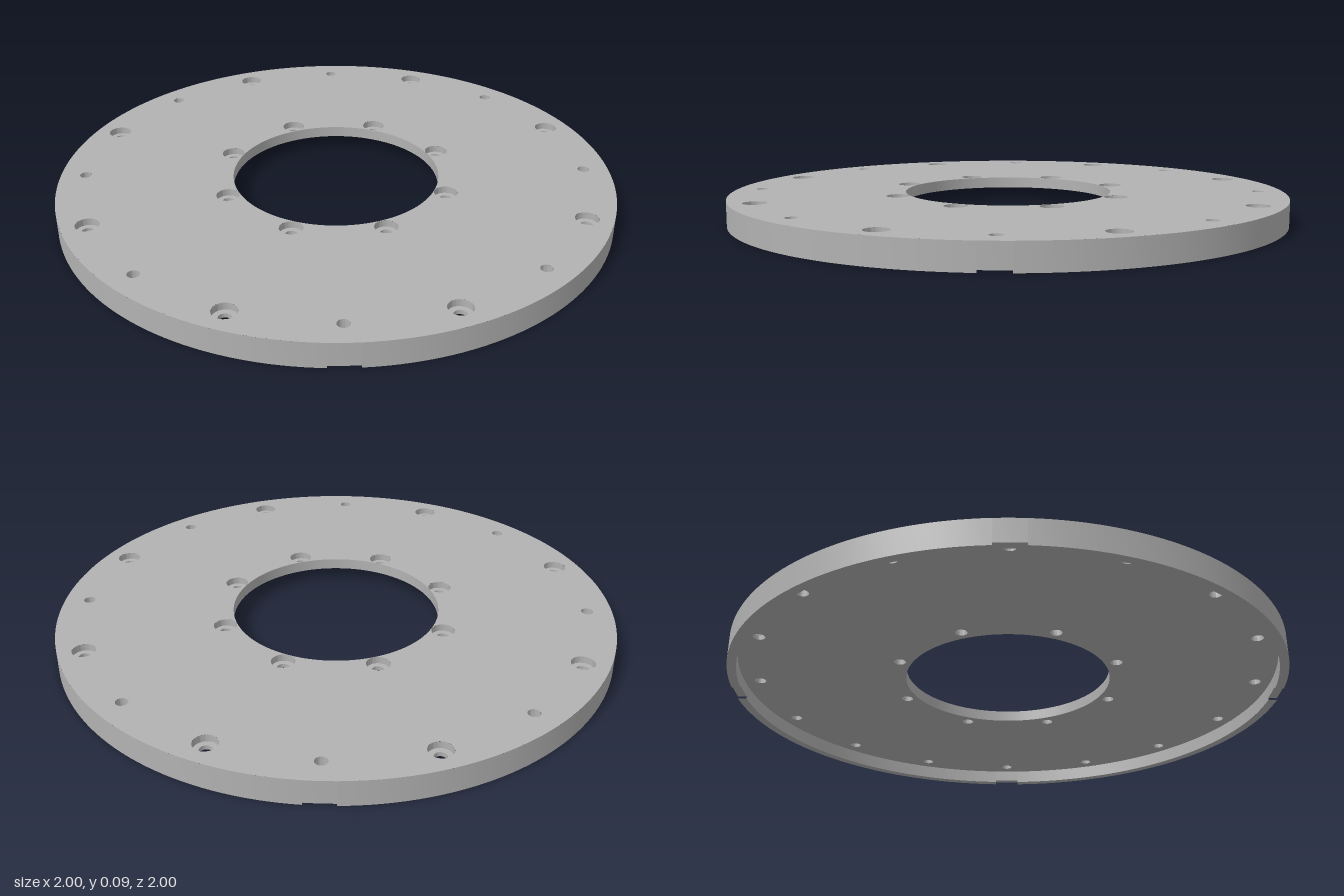
import * as THREE from 'three';
import { toCreasedNormals } from 'three/addons/utils/BufferGeometryUtils.js';

const TOP = 0.09, CEILING = 0.05, NOTCH = 0.008; // heights
const OUTER = 1, LIP = 0.968, BORE = 0.373; // disc radii
const HOLE = 0.021, SINK = 0.041, SINK_FLOOR = 0.065; // screw holes
const NOTCH_HALF = 0.05; // half angle of a rim notch

export function createModel() {
  const group = new THREE.Group();
  const grey = new THREE.MeshStandardMaterial({ color: 0xb2b2b2 });

  const add = (name, geometry, parent = group) => {
    const mesh = new THREE.Mesh(geometry, grey);
    mesh.name = name;
    parent.add(mesh);
    return mesh;
  };
  // Profiles running upward face outward, those running downward face the axis
  const turned = (profile, segments, start = 0, length = Math.PI * 2) =>
    toCreasedNormals(new THREE.LatheGeometry(
      profile.map(([r, y]) => new THREE.Vector2(r, y)), segments, start, length), 0.6);

  // Three rings of eight holes
  const holes = [];
  for (let i = 0; i < 8; i++) {
    const a = i * Math.PI / 4, b = a + Math.PI / 8;
    holes.push({ name: 'outerScrewHole', r: 0.91, a: b, sunk: true });
    holes.push({ name: 'innerScrewHole', r: 0.415, a: b, sunk: true });
    holes.push({ name: 'pinHole', r: 0.91, a, sunk: false });
  }
  for (const h of holes) {
    h.x = h.r * Math.cos(h.a);
    h.z = h.r * Math.sin(h.a);
  }

  // Flat perforated faces of the plate
  const face = (radius, sinkRadius) => {
    const shape = new THREE.Shape().absarc(0, 0, radius, 0, Math.PI * 2);
    const cut = (x, y, r) =>
      shape.holes.push(new THREE.Path().absarc(x, y, r, 0, Math.PI * 2, true));
    cut(0, 0, BORE);
    for (const h of holes) cut(h.x, h.z, h.sunk ? sinkRadius : HOLE);
    return new THREE.ShapeGeometry(shape, 90);
  };
  add('topFace', face(OUTER, SINK).rotateX(-Math.PI / 2)).position.y = TOP;
  add('recessedUnderside', face(LIP, HOLE).rotateX(Math.PI / 2)).position.y = CEILING;

  // Central bore
  add('boreWall', turned([[BORE, TOP], [BORE, CEILING]], 180));

  // Walls of the counterbored and plain holes
  const sunkWall = turned([[SINK, TOP], [SINK, SINK_FLOOR], [HOLE, SINK_FLOOR], [HOLE, CEILING]], 40);
  const plainWall = turned([[HOLE, TOP], [HOLE, CEILING]], 40);
  for (const h of holes) add(h.name, h.sunk ? sunkWall : plainWall).position.set(h.x, 0, h.z);

  // Outer rim with a hanging lip and four shallow notches on the diagonals
  const rim = new THREE.Group();
  rim.name = 'rim';
  group.add(rim);
  const rimProfile = (y) => [[LIP, CEILING], [LIP, y], [OUTER, y], [OUTER, TOP]];
  for (let i = 0; i < 4; i++) {
    const middle = Math.PI / 4 + i * Math.PI / 2;
    add('rimNotch', turned(rimProfile(NOTCH), 2, middle - NOTCH_HALF, NOTCH_HALF * 2), rim);
    add('rimSection', turned(rimProfile(0), 43, middle + NOTCH_HALF, Math.PI / 2 - NOTCH_HALF * 2), rim);
    // Small end walls facing into the notch
    for (const side of [-1, 1]) {
      const wall = new THREE.PlaneGeometry(OUTER - LIP, NOTCH);
      if (side > 0) wall.rotateY(Math.PI);
      wall.translate((OUTER + LIP) / 2, NOTCH / 2, 0);
      add('notchEnd', wall, rim).rotation.y = middle + side * NOTCH_HALF - Math.PI / 2;
    }
  }
  return group;
}
